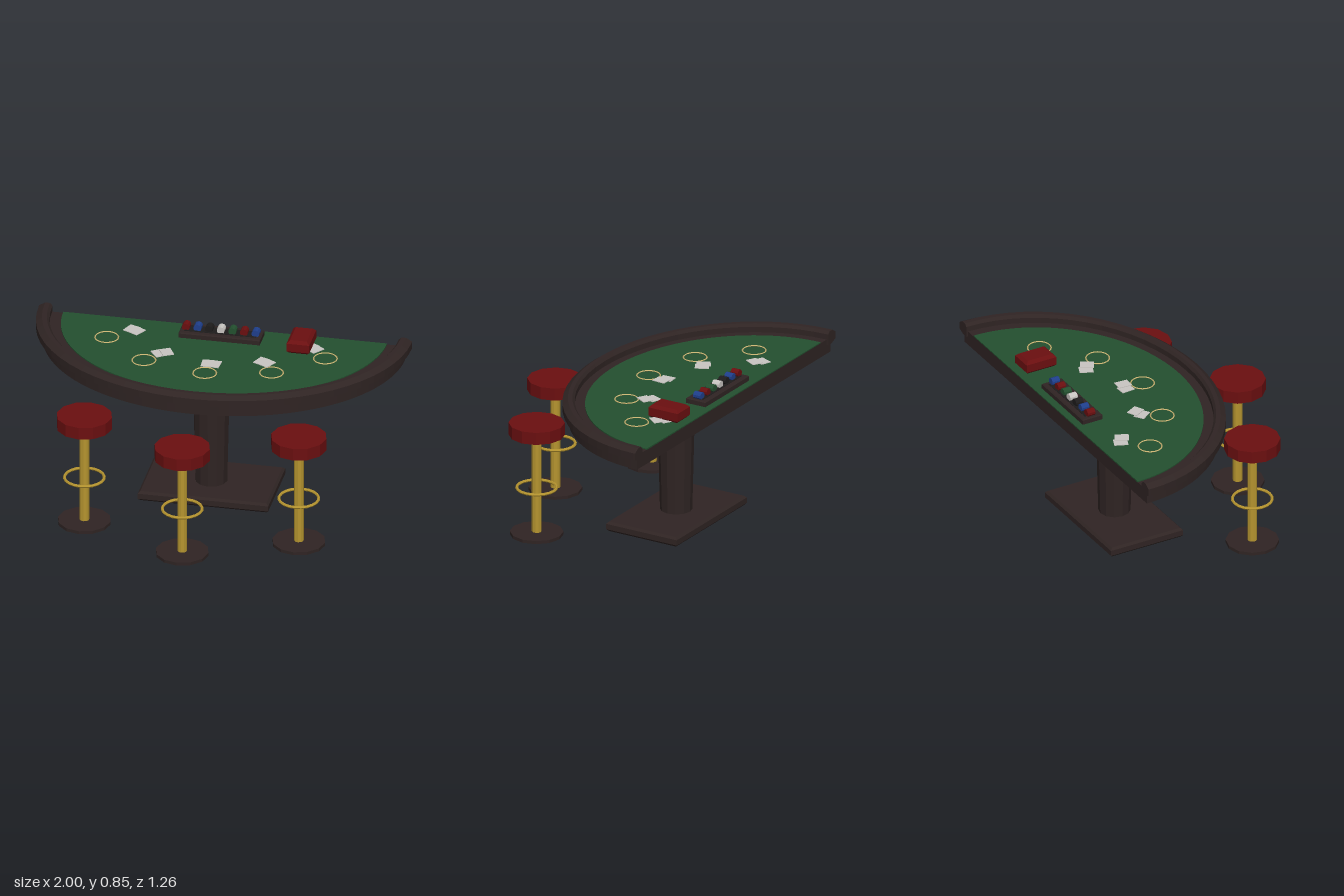
import * as THREE from 'three';

const mat = (name, color) => {
  const m = new THREE.MeshStandardMaterial({ color });
  m.name = name;
  return m;
};

export function createModel() {
  const wood = mat('dark wood', 0x2f2423);
  const felt = mat('green felt', 0x23502f);
  const red = mat('deep red', 0x6b0f10);
  const gold = mat('brass', 0xb5942f);
  const tan = mat('pale gold', 0xc4ae6e);
  const white = mat('card white', 0xc9c6c2);
  const blue = mat('chip blue', 0x1f3f8c);
  const black = mat('black', 0x1e1c1c);

  const model = new THREE.Group();
  model.name = 'cardTable';

  // Adds a faceted mesh
  const add = (parent, name, geometry, material, x = 0, y = 0, z = 0) => {
    const g = geometry.index ? geometry.toNonIndexed() : geometry;
    g.computeVertexNormals();
    const mesh = new THREE.Mesh(g, material);
    mesh.name = name;
    mesh.position.set(x, y, z);
    parent.add(mesh);
    return mesh;
  };

  // Rectangular slab standing on y = 0, chamfered at its top and bottom
  const chamferedSlab = (w, h, d, bevel) => {
    const a = w / 2 - bevel, b = d / 2 - bevel;
    const s = new THREE.Shape([[-a, -b], [a, -b], [a, b], [-a, b]].map(p => new THREE.Vector2(...p)));
    return new THREE.ExtrudeGeometry(s, {
      depth: h - 2 * bevel, bevelEnabled: true, bevelSize: bevel, bevelThickness: bevel, bevelSegments: 1,
    }).rotateX(-Math.PI / 2).translate(0, bevel, 0);
  };

  // Half-ellipse slab, its top at y = 0, straight side at z = 0
  const SQUASH = 0.857, BACK = -0.62;
  const halfSlab = (r, thickness) => {
    const s = new THREE.Shape();
    s.absellipse(0, 0, r, r * SQUASH, 0, Math.PI, false, 0);
    s.closePath();
    return new THREE.ExtrudeGeometry(s, { depth: thickness, bevelEnabled: false, curveSegments: 32 })
      .rotateX(Math.PI / 2);
  };

  // Table top
  const table = new THREE.Group();
  table.name = 'table';
  model.add(table);
  add(table, 'tableBody', halfSlab(0.965, 0.08), wood, 0, 0.765, BACK);
  add(table, 'feltSurface', halfSlab(0.868, 0.008), felt, 0, 0.771, BACK);

  // Padded rail, swept round the curve, with a short stub at each end
  const profile = [
    [0.96, 0.735], [1, 0.752], [1, 0.79], [0.968, 0.81], [0.942, 0.81], [0.928, 0.795], [0.928, 0.735], [0.96, 0.735],
  ].map(p => new THREE.Vector2(...p));
  add(table, 'rail', new THREE.LatheGeometry(profile, 32, -Math.PI / 2, Math.PI).scale(1, 1, SQUASH),
    wood, 0, 0, BACK);
  for (const side of [-1, 1]) {
    const s = new THREE.Shape(profile.slice(0, -1).map(p => new THREE.Vector2(p.x * side, p.y)));
    add(table, 'railEnd', new THREE.ExtrudeGeometry(s, { depth: 0.012, bevelEnabled: false }),
      wood, 0, 0, BACK - 0.01);
  }

  // Pedestal
  add(table, 'pedestal', new THREE.CylinderGeometry(0.1, 0.085, 0.62, 12), wood, 0, 0.36, -0.265);
  add(table, 'pedestalBase', chamferedSlab(0.7, 0.054, 0.436, 0.012), wood, 0, 0, -0.267);

  // Chip tray with a row of chip stacks
  const tray = new THREE.Group();
  tray.name = 'chipTray';
  tray.position.set(0, 0.765, -0.52);
  table.add(tray);
  add(tray, 'trayBox', chamferedSlab(0.436, 0.035, 0.12, 0.005), wood);
  add(tray, 'trayInset', new THREE.BoxGeometry(0.385, 0.004, 0.066), black, 0, 0.035, 0);
  [red, blue, black, white, felt, red, blue].forEach((m, i) => {
    add(tray, 'chipStack', new THREE.CylinderGeometry(0.021, 0.021, 0.045, 10).rotateX(Math.PI / 2),
      m, (i - 3) * 0.0622, 0.05, 0);
  });

  // Card box
  add(table, 'cardShoe', chamferedSlab(0.122, 0.077, 0.18, 0.016), red, 0.435, 0.768, -0.491);

  // Betting rings, each with a pair of cards
  const places = [
    [-0.586, -0.384, -0.46, -0.487, -0.45],
    [-0.342, -0.171, -0.262, -0.268, 0.55],
    [0, -0.095, 0.012, -0.198, 0],
    [0.342, -0.171, 0.283, -0.272, -0.45],
    [0.586, -0.384, 0.5, -0.48, -0.6],
  ];
  for (const [rx, rz, cx, cz, turn] of places) {
    add(table, 'bettingRing', new THREE.TorusGeometry(0.062, 0.004, 4, 24).rotateX(Math.PI / 2),
      tan, rx, 0.773, rz);
    const hand = new THREE.Group();
    hand.name = 'cardPair';
    hand.position.set(cx, 0.774, cz);
    hand.rotation.y = turn;
    table.add(hand);
    for (const s of [-1, 1]) {
      const card = add(hand, 'card', new THREE.BoxGeometry(0.06, 0.004, 0.075),
        white, s * 0.021, (s + 1) * 0.002, s * 0.004);
      card.rotation.y = -s * 0.06;
    }
  }

  // Stools
  for (const [x, z] of [[-0.575, 0.24], [0, 0.48], [0.575, 0.24]]) {
    const stool = new THREE.Group();
    stool.name = 'stool';
    stool.position.set(x, 0, z);
    model.add(stool);
    add(stool, 'stoolBase', new THREE.CylinderGeometry(0.141, 0.141, 0.017, 12), wood, 0, 0.0085, 0);
    add(stool, 'stoolPole', new THREE.CylinderGeometry(0.026, 0.026, 0.55, 10), gold, 0, 0.292, 0);
    add(stool, 'footRing', new THREE.TorusGeometry(0.105, 0.008, 6, 20).rotateX(Math.PI / 2), gold, 0, 0.265, 0);
    add(stool, 'seat', new THREE.CylinderGeometry(0.148, 0.148, 0.068, 12), red, 0, 0.599, 0);
  }

  return model;
}
